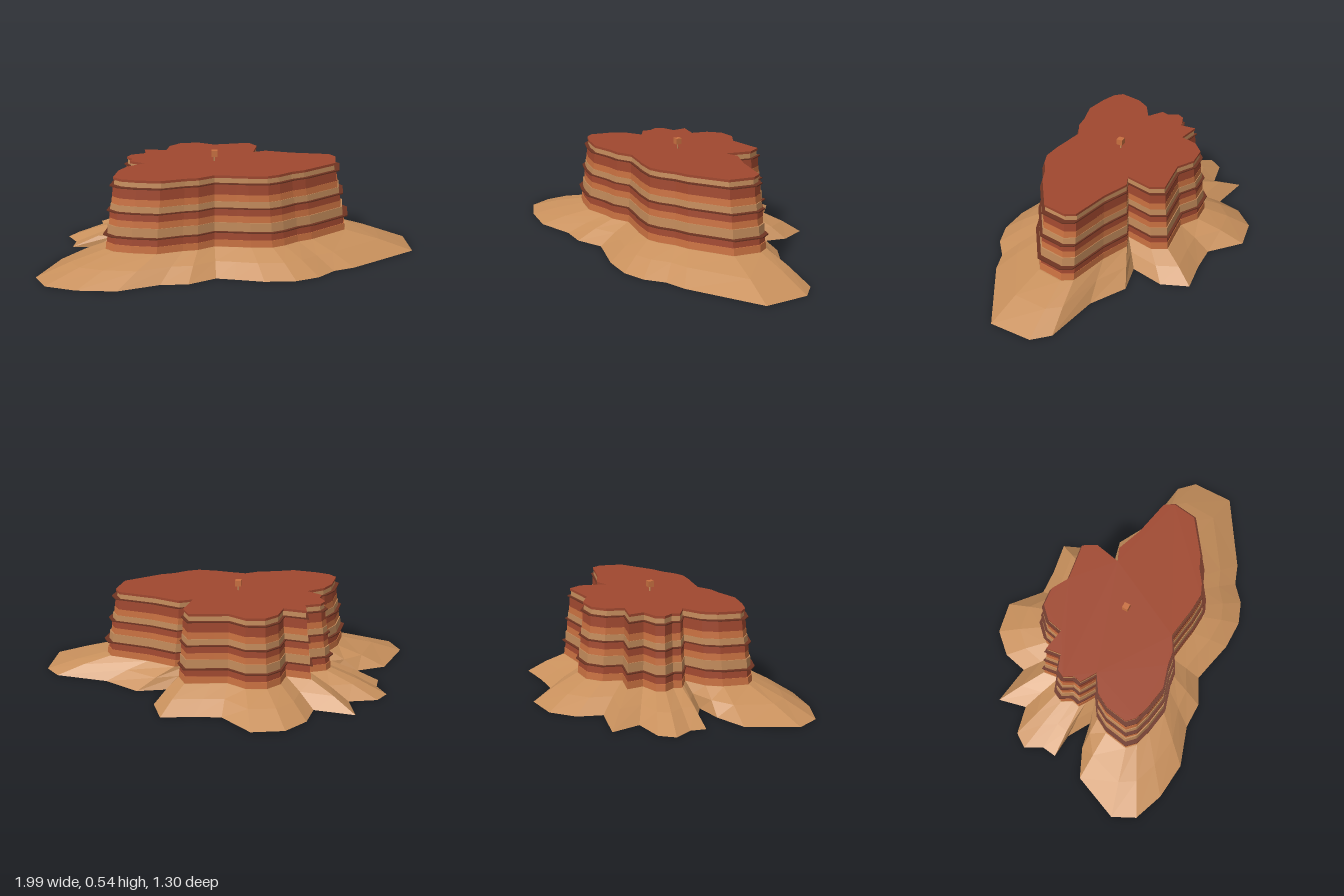
import * as THREE from 'three';

// Outline, counterclockwise from above: [cliff top x, z, talus edge x, z]
const outline = [
  [.58, -.02, .99, -.06], [.55, -.07, .91, -.14], [.35, -.11, .62, -.18], [.21, -.16, .43, -.28],
  [.14, -.13, .27, -.24], [.17, -.27, .31, -.42], [.13, -.34, .25, -.56], [0, -.32, .08, -.53],
  [-.07, -.31, -.06, -.52], [-.16, -.36, -.22, -.655], [-.26, -.35, -.39, -.62], [-.32, -.29, -.49, -.51],
  [-.34, -.2, -.52, -.38], [-.46, -.22, -.735, -.41], [-.45, -.14, -.7, -.26], [-.53, -.11, -.85, -.225],
  [-.55, -.07, -.9, -.15], [-.52, -.02, -.85, -.06], [-.53, .02, -.86, .02], [-.5, .04, -.73, .03],
  [-.45, .07, -.61, .1], [-.54, .13, -.75, .13], [-.58, .2, -.9, .2], [-.6, .32, -1, .45],
  [-.56, .36, -.94, .57], [-.48, .385, -.78, .63], [-.36, .405, -.58, .65], [-.24, .37, -.37, .58],
  [-.17, .36, -.23, .58], [-.09, .315, -.09, .51], [.02, .33, 0, .53], [.08, .34, .15, .565],
  [.18, .345, .31, .565], [.24, .32, .43, .52], [.31, .27, .52, .44], [.38, .24, .63, .4],
  [.56, .11, .99, .17],
];
const CX = -.08, CZ = .04;

// Cliff outline scaled about the centre of the plateau
const cliffRing = (s, y) => outline.map(([x, z]) => [CX + (x - CX) * s, y, CZ + (z - CZ) * s]);

// Closed faceted solid through a stack of rings, bottom to top
function loft(rings) {
  const pos = [];
  const n = outline.length;
  for (let k = 0; k < rings.length - 1; k++) {
    const a = rings[k], b = rings[k + 1];
    for (let i = 0; i < n; i++) {
      const j = (i + 1) % n;
      pos.push(...a[i], ...a[j], ...b[j], ...a[i], ...b[j], ...b[i]);
    }
  }
  const cap = (ring, up) => {
    const flat = ring.map(p => new THREE.Vector2(p[0], -p[2]));
    for (const [a, b, c] of THREE.ShapeUtils.triangulateShape(flat, [])) {
      pos.push(...ring[a], ...ring[up ? b : c], ...ring[up ? c : b]);
    }
  };
  cap(rings[0], false);
  cap(rings[rings.length - 1], true);
  const geo = new THREE.BufferGeometry();
  geo.setAttribute('position', new THREE.Float32BufferAttribute(pos, 3));
  geo.computeVertexNormals();
  return geo;
}

export function createModel() {
  const group = new THREE.Group();
  const material = (name, color) => {
    const m = new THREE.MeshStandardMaterial({ color, flatShading: true });
    m.name = name;
    return m;
  };
  const red = material('redRock', 0xa0482f);
  const orange = material('orangeRock', 0xc87040);
  const tan = material('tanRock', 0xc28a5a);
  const sand = material('sandyTalus', 0xc8905c);
  const dark = material('darkLedge', 0x6e3422);
  const add = (name, geo, mat) => {
    const mesh = new THREE.Mesh(geo, mat);
    mesh.name = name;
    group.add(mesh);
    return mesh;
  };

  // Talus slope, slightly convex halfway up
  const foot = cliffRing(1.11, .11);
  const edge = outline.map(p => [p[2], 0, p[3]]);
  const middle = edge.map((p, i) => [(p[0] + foot[i][0]) / 2, .062, (p[2] + foot[i][2]) / 2]);
  add('talusSlope', loft([edge, middle, foot]), sand);

  // Cliff strata: [bottom, top, scale, material]
  const strata = [
    [.11, .147, 1.1, orange], [.147, .187, 1.085, red], [.187, .24, 1.08, tan],
    [.24, .275, 1.06, orange], [.275, .312, 1.055, red], [.312, .35, 1.045, tan],
    [.35, .385, 1.03, orange], [.385, .44, 1.02, red], [.44, .472, 1.0, tan],
  ];
  strata.forEach(([y0, y1, s, mat], i) =>
    add('stratum' + (i + 1), loft([cliffRing(s, y0), cliffRing(s - .008, y1)]), mat));

  // Thin projecting ledges
  [[.187, 1.12], [.312, 1.075], [.44, 1.04]].forEach(([y, s], i) =>
    add('ledge' + (i + 1), loft([cliffRing(s, y), cliffRing(s, y + .006)]), dark));

  // Plateau cap
  add('plateauCap', loft([cliffRing(1.005, .472), cliffRing(1.005, .485)]), red);

  // Small marker on a post
  add('markerPost', new THREE.CylinderGeometry(.004, .004, .03, 6), tan).position.set(CX, .498, CZ);
  add('markerBlock', new THREE.BoxGeometry(.032, .032, .032), orange).position.set(CX, .527, CZ);

  return group;
}
